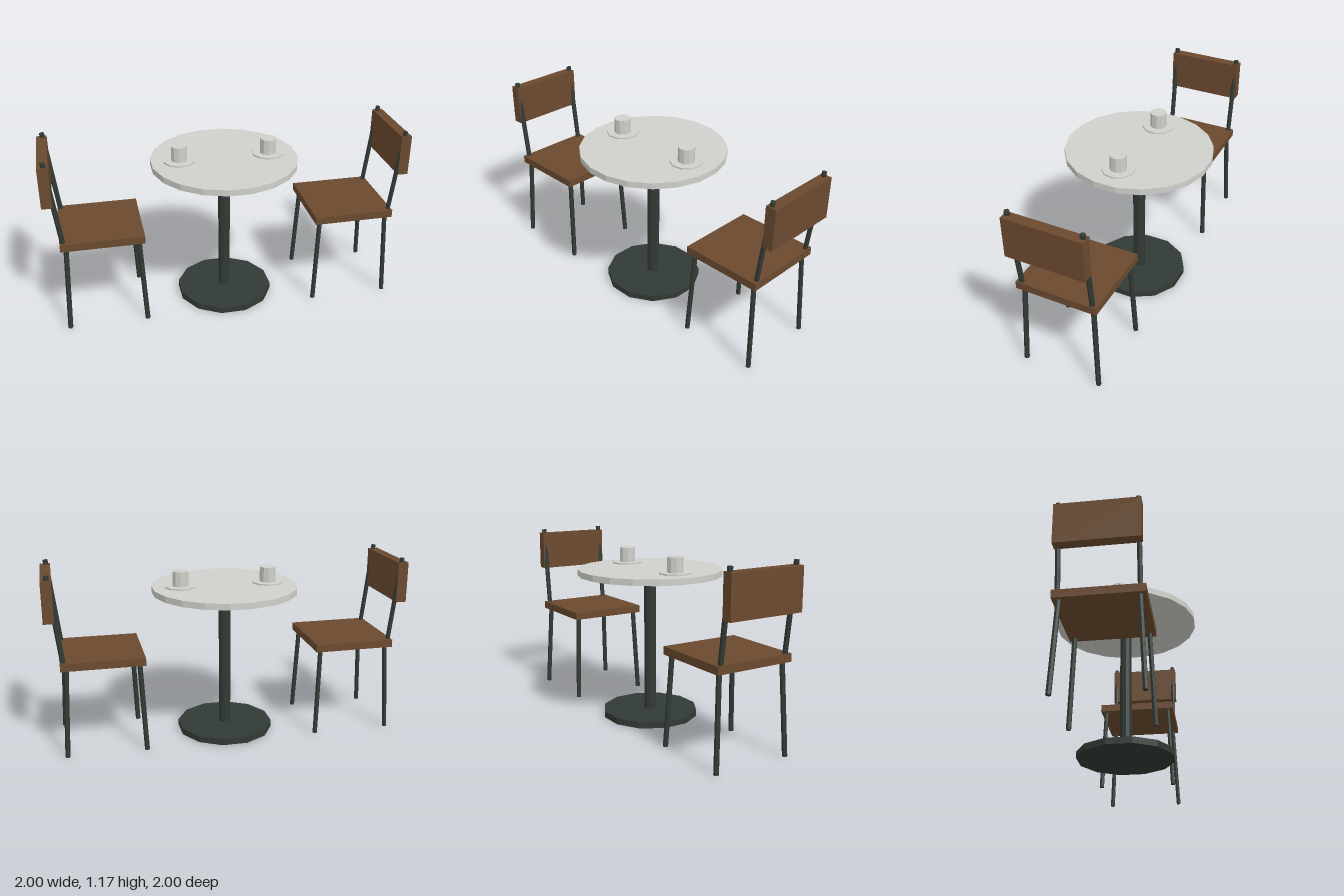
import * as THREE from 'three';

const flat = (name, color) => {
  const m = new THREE.MeshStandardMaterial({ color, flatShading: true });
  m.name = name;
  return m;
};

export function createModel() {
  const wood = flat('brown wood', 0x6b4a2f);
  const metal = flat('dark metal', 0x323a35);
  const stone = flat('pale stone', 0xd0d0cb);

  const model = new THREE.Group();
  model.name = 'cafeTableSet';

  const add = (parent, name, geometry, material, x = 0, y = 0, z = 0) => {
    const mesh = new THREE.Mesh(geometry, material);
    mesh.name = name;
    mesh.position.set(x, y, z);
    parent.add(mesh);
    return mesh;
  };

  // Upright disc or post between two heights
  const disc = (parent, name, material, radius, y0, y1, sides, bottomRadius = radius) =>
    add(parent, name, new THREE.CylinderGeometry(radius, bottomRadius, y1 - y0, sides),
      material, 0, (y0 + y1) / 2, 0);

  // Thin metal rod between two points
  const up = new THREE.Vector3(0, 1, 0);
  const rod = (parent, name, from, to) => {
    const a = new THREE.Vector3(...from), b = new THREE.Vector3(...to);
    const dir = b.clone().sub(a);
    const mesh = add(parent, name, new THREE.CylinderGeometry(0.016, 0.016, dir.length(), 6), metal);
    mesh.position.copy(a).add(b).multiplyScalar(0.5);
    mesh.quaternion.setFromUnitVectors(up, dir.normalize());
  };

  // Round pedestal table
  const table = new THREE.Group();
  table.name = 'table';
  disc(table, 'tableBase', metal, 0.318, 0, 0.042, 12);
  disc(table, 'tablePost', metal, 0.04, 0.04, 0.965, 10);
  disc(table, 'tableTop', stone, 0.475, 0.958, 0.998, 20);
  model.add(table);

  // Chair facing +z
  const makeChair = () => {
    const chair = new THREE.Group();
    chair.name = 'chair';
    add(chair, 'seat', new THREE.BoxGeometry(0.525, 0.05, 0.525), wood, 0, 0.6, 0);
    add(chair, 'backrest', new THREE.BoxGeometry(0.502, 0.262, 0.066), wood, 0, 1.009, -0.31);
    for (const sx of [-1, 1]) {
      for (const sz of [-1, 1]) {
        rod(chair, 'leg', [sx * 0.252, 0, sz * 0.252], [sx * 0.226, 0.58, sz * 0.226]);
      }
      rod(chair, 'backPost', [sx * 0.23, 0.6, -0.24], [sx * 0.23, 1.168, -0.306]);
    }
    return chair;
  };

  // Cup on a saucer
  const makeCup = () => {
    const cup = new THREE.Group();
    cup.name = 'cupAndSaucer';
    disc(cup, 'saucer', stone, 0.104, 0.996, 1.008, 10);
    disc(cup, 'cup', stone, 0.053, 1.004, 1.105, 10);
    return cup;
  };

  // Two places set across the diagonal
  for (const side of [1, -1]) {
    const chair = makeChair();
    chair.position.set(side * 0.58, 0, -side * 0.58);
    chair.rotation.y = side > 0 ? -Math.PI / 4 : Math.PI * 3 / 4;
    const cup = makeCup();
    cup.position.set(side * 0.205, 0, -side * 0.205);
    model.add(chair, cup);
  }

  return model;
}
